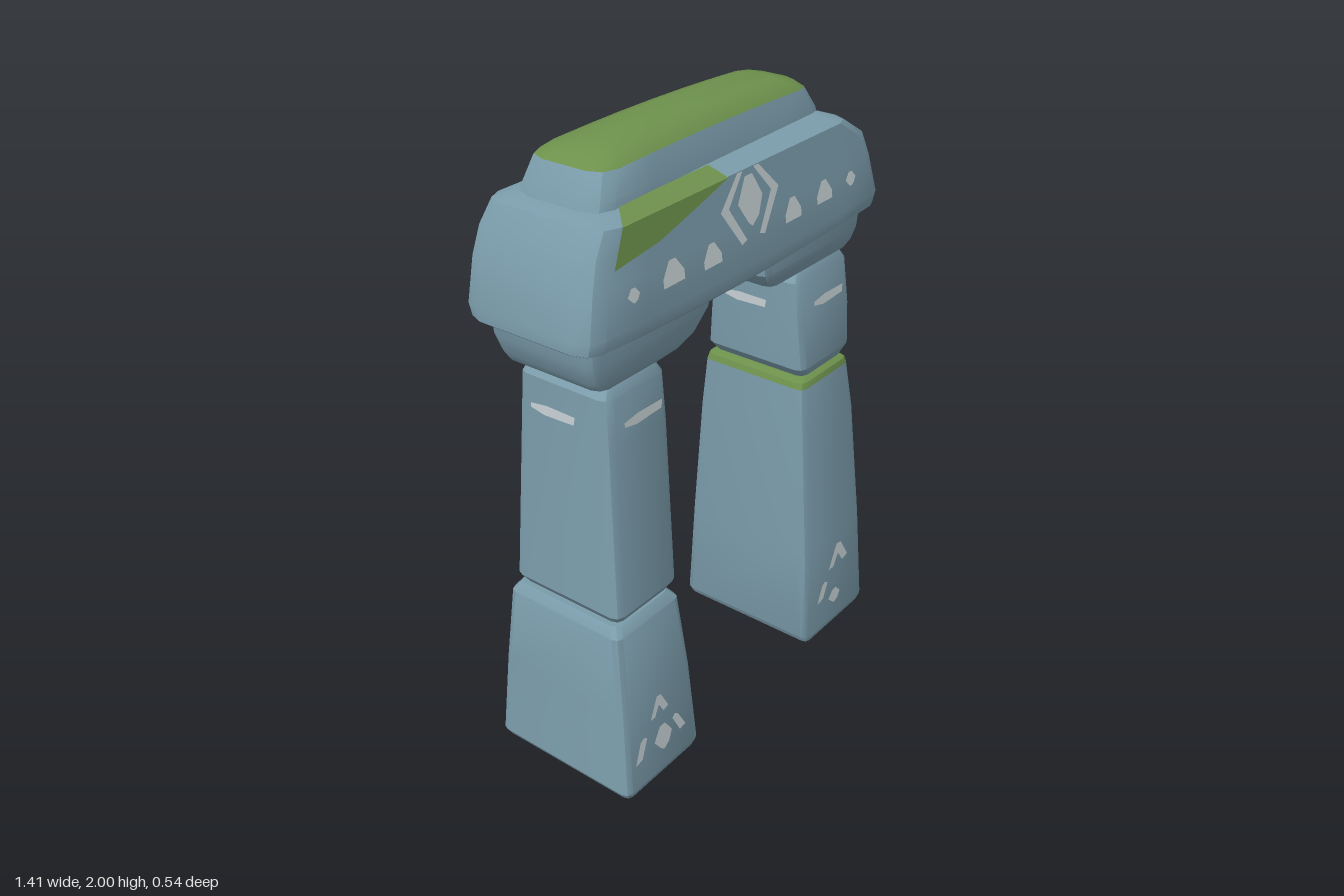
import * as THREE from 'three';
import { toCreasedNormals } from 'three/addons/utils/BufferGeometryUtils.js';

const stoneMat = new THREE.MeshStandardMaterial({ color: 0x7b9cab });
stoneMat.name = 'blue grey stone';
const mossMat = new THREE.MeshStandardMaterial({ color: 0x6d914c });
mossMat.name = 'green moss';
const paintMat = new THREE.MeshStandardMaterial({ color: 0xc6d0d3 });
paintMat.name = 'pale paint';

const noWarp = (p) => p;

// One outline: rectangle with rounded corners, long sides split into n pieces
function outline([y, x0, x1, z0, z1, c], n) {
  const pts = [];
  const corners = [[x1 - c, z1 - c, 0], [x0 + c, z1 - c, 1], [x0 + c, z0 + c, 2], [x1 - c, z0 + c, 3]];
  corners.forEach(([cx, cz, q], i) => {
    for (let k = 0; k < 3; k++) {
      const a = (q + k / 2) * Math.PI / 2;
      pts.push(new THREE.Vector3(cx + c * Math.cos(a), y, cz + c * Math.sin(a)));
    }
    if (i % 2 === 0) {
      const from = pts[pts.length - 1].clone();
      const toX = i === 0 ? x0 + c : x1 - c;
      for (let k = 1; k < n; k++) {
        pts.push(new THREE.Vector3(THREE.MathUtils.lerp(from.x, toX, k / n), y, from.z));
      }
    }
  });
  return pts;
}

// Stone lofted through rings of [y, x0, x1, z0, z1, corner]
function stone(name, rings, material = stoneMat, n = 1, warp = noWarp) {
  const pos = [], idx = [];
  const loops = rings.map((r) => outline(r, n));
  const m = loops[0].length, last = rings.length - 1;
  loops.flat().forEach((p) => pos.push(...warp(p).toArray()));
  for (const r of [rings[0], rings[last]]) {
    pos.push(...warp(new THREE.Vector3((r[1] + r[2]) / 2, r[0], (r[3] + r[4]) / 2)).toArray());
  }
  const bottom = m * rings.length, top = bottom + 1;
  for (let j = 0; j < m; j++) {
    const k = (j + 1) % m;
    for (let i = 0; i < last; i++) {
      const a = i * m + j, b = i * m + k;
      idx.push(a, a + m, b, b, a + m, b + m);
    }
    idx.push(bottom, j, k, top, last * m + k, last * m + j);
  }
  const geo = new THREE.BufferGeometry();
  geo.setAttribute('position', new THREE.Float32BufferAttribute(pos, 3));
  geo.setIndex(idx);
  const mesh = new THREE.Mesh(toCreasedNormals(geo, 0.55), material);
  mesh.name = name;
  return { mesh, rings, warp };
}

// Extents of a stone at height y
function extentsAt(rings, y) {
  let i = 0;
  while (i < rings.length - 2 && y > rings[i + 1][0]) i++;
  const t = (y - rings[i][0]) / (rings[i + 1][0] - rings[i][0]);
  return rings[i].map((v, k) => THREE.MathUtils.lerp(v, rings[i + 1][k], t));
}

// Thin face laid on one side of a stone; u runs rightwards when facing that side
function decal(name, target, side, points, material = paintMat) {
  const e = 0.005;
  const geo = new THREE.ShapeGeometry(new THREE.Shape(points.map((p) => new THREE.Vector2(...p))));
  const pos = geo.attributes.position;
  for (let i = 0; i < pos.count; i++) {
    const y = pos.getY(i), u = pos.getX(i);
    const [, x0, x1, z0, z1, c] = extentsAt(target.rings, y);
    const cx = (x) => THREE.MathUtils.clamp(x, x0 + c, x1 - c);
    const p = {
      front: () => [cx(u), y, z1 + e],
      back: () => [cx(-u), y, z0 - e],
      left: () => [x1 + e, y, -u],
      right: () => [x0 - e, y, u],
    }[side]();
    const v = target.warp(new THREE.Vector3(...p));
    pos.setXYZ(i, v.x, v.y, v.z);
  }
  geo.computeVertexNormals();
  const mesh = new THREE.Mesh(geo, material);
  mesh.name = name;
  return mesh;
}

const diamond = (x, y, w, h) => [[x - w, y], [x - 0.3 * w, y - 0.8 * h], [x, y - h], [x + 0.6 * w, y - 0.7 * h],
  [x + w, y], [x + 0.3 * w, y + 0.9 * h], [x - 0.3 * w, y + 0.9 * h]];
const triangle = (x, y, w, h) => [[x - w, y], [x + w, y], [x + w, y + 0.4 * h], [x + 0.3 * w, y + h],
  [x - 0.3 * w, y + h], [x - w, y + 0.35 * h]];
const slash = (x0, y0, x1, y1, t) => [[x0 - t, y0], [x0 + t, y0 + 0.005], [x1 + t, y1 - 0.01], [x1, y1], [x1 - t, y1 - 0.01]];
const arch = (x, y, w, h) => [[x - w, y], [x - 0.5 * w, y], [x, y + 0.5 * h], [x + 0.45 * w, y], [x + w, y + 0.1 * h],
  [x + 0.3 * w, y + 0.95 * h], [x - 0.15 * w, y + h]];
const dash = (u, y) => [[u - 0.08, y - 0.008], [u - 0.03, y - 0.018], [u + 0.08, y - 0.014], [u + 0.085, y + 0.012],
  [u - 0.02, y + 0.014], [u - 0.08, y + 0.006]];

export function createModel() {
  const model = new THREE.Group();
  model.name = 'stoneArch';

  // Pillar on the right (-x): short base, long upper stone
  const rightBase = stone('rightPillarBase', [
    [0, -0.65, -0.32, -0.26, 0.255, 0.02], [0.025, -0.665, -0.305, -0.27, 0.265, 0.025],
    [0.32, -0.65, -0.32, -0.245, 0.243, 0.025], [0.585, -0.635, -0.342, -0.217, 0.217, 0.025],
    [0.615, -0.615, -0.365, -0.195, 0.195, 0.025]]);
  const rightShaft = stone('rightPillarShaft', [
    [0.612, -0.595, -0.365, -0.185, 0.185, 0.025], [0.645, -0.617, -0.335, -0.205, 0.205, 0.03],
    [1.19, -0.592, -0.325, -0.175, 0.17, 0.03], [1.34, -0.587, -0.328, -0.165, 0.16, 0.03],
    [1.375, -0.56, -0.35, -0.15, 0.145, 0.02]]);

  // Pillar on the left (+x): tall base with a mossy rim, short upper stone
  const rim = [0.995, 0.326, 0.607, -0.2, 0.198, 0.025];
  const leftBase = stone('leftPillarBase', [
    [0, 0.325, 0.67, -0.258, 0.26, 0.02], [0.025, 0.312, 0.685, -0.266, 0.268, 0.025],
    [0.38, 0.312, 0.667, -0.246, 0.248, 0.03], [0.82, 0.317, 0.635, -0.216, 0.215, 0.03], rim]);
  const leftRim = stone('mossyRim', [rim, [1.015, 0.333, 0.602, -0.196, 0.193, 0.025],
    [1.027, 0.36, 0.58, -0.175, 0.175, 0.02]], mossMat);
  const leftShaft = stone('leftPillarShaft', [
    [1.025, 0.36, 0.59, -0.18, 0.175, 0.025], [1.06, 0.332, 0.625, -0.195, 0.188, 0.03],
    [1.2, 0.325, 0.635, -0.183, 0.175, 0.03], [1.36, 0.325, 0.627, -0.165, 0.158, 0.03],
    [1.395, 0.35, 0.6, -0.15, 0.145, 0.02]]);

  // Corbel stones between pillars and lintel
  const rightCorbel = stone('rightCorbel', [
    [1.367, -0.585, -0.32, -0.165, 0.145, 0.03], [1.385, -0.615, -0.25, -0.188, 0.162, 0.03],
    [1.41, -0.63, -0.185, -0.193, 0.168, 0.03], [1.47, -0.652, -0.135, -0.2, 0.178, 0.03],
    [1.535, -0.656, -0.125, -0.205, 0.18, 0.03]]);
  const leftCorbel = stone('leftCorbel', [
    [1.392, 0.21, 0.585, -0.165, 0.145, 0.03], [1.402, 0.185, 0.62, -0.185, 0.16, 0.03],
    [1.425, 0.155, 0.65, -0.192, 0.168, 0.03], [1.46, 0.128, 0.657, -0.2, 0.178, 0.03],
    [1.535, 0.12, 0.668, -0.205, 0.18, 0.03]]);

  // Lintel, sagging slightly along its underside
  const lintelWarp = (p) => {
    const sag = THREE.MathUtils.clamp((1.6 - p.y) / 0.08, 0, 1) * 0.025 * (1 - (p.x / 0.7) ** 2);
    return new THREE.Vector3(p.x, p.y - sag + 0.012 * p.x, p.z + 0.008 * p.x);
  };
  const lintel = stone('lintel', [
    [1.522, -0.68, 0.67, -0.2, 0.19, 0.06], [1.54, -0.706, 0.7, -0.235, 0.217, 0.06],
    [1.575, -0.705, 0.7, -0.248, 0.225, 0.06], [1.7, -0.67, 0.672, -0.255, 0.208, 0.06],
    [1.78, -0.642, 0.64, -0.25, 0.198, 0.06], [1.845, -0.6, 0.54, -0.24, 0.19, 0.06],
    [1.867, -0.53, 0.48, -0.19, 0.12, 0.06]], stoneMat, 8, lintelWarp);

  // Capstone with a mossy crown
  const capWarp = (p) => {
    const k = THREE.MathUtils.clamp((p.y - 1.9) / 0.1, 0, 1);
    return new THREE.Vector3(p.x, p.y - 0.07 * k * p.x * p.x, (p.z + 0.03) * (1 - 0.12 * p.x) - 0.03);
  };
  const crown = [1.957, -0.502, 0.475, -0.168, 0.095, 0.06];
  const cap = stone('capstone', [
    [1.82, -0.56, 0.527, -0.185, 0.12, 0.06], [1.88, -0.543, 0.513, -0.175, 0.117, 0.06], crown],
    stoneMat, 6, capWarp);
  const capMoss = stone('capstoneMoss', [crown, [1.982, -0.475, 0.45, -0.14, 0.07, 0.06],
    [2.0, -0.4, 0.38, -0.085, 0.03, 0.05]], mossMat, 6, capWarp);

  for (const s of [rightBase, rightShaft, leftBase, leftRim, leftShaft, rightCorbel, leftCorbel, lintel, cap, capMoss]) {
    model.add(s.mesh);
  }

  // Lintel signs: diamond in brackets, with triangles and dots outwards
  const bracket = (s) => [[0.025, 1.845], [0.05, 1.845], [0.137, 1.757], [0.055, 1.64], [0.03, 1.648], [0.1, 1.757]]
    .map(([x, y]) => [s * x, y]);
  const lintelSigns = [diamond(0, 1.757, 0.058, 0.078), bracket(1), bracket(-1),
    triangle(-0.36, 1.633, 0.045, 0.07), triangle(-0.19, 1.625, 0.04, 0.065),
    triangle(0.2, 1.635, 0.04, 0.068), triangle(0.365, 1.64, 0.04, 0.065),
    diamond(-0.525, 1.66, 0.025, 0.022), diamond(0.51, 1.668, 0.028, 0.024)];
  const mossFace = [[-0.585, 1.745], [-0.4, 1.765], [-0.2, 1.815], [-0.09, 1.845], [-0.535, 1.845]];
  const mossBevel = [[-0.535, 1.845], [-0.09, 1.845], [-0.09, 1.867], [-0.47, 1.867]];

  // Foot signs, repeated half a turn round on the opposite pillar
  const footA = [arch(-0.493, 0.24, 0.043, 0.07), diamond(-0.485, 0.147, 0.043, 0.05),
    slash(-0.605, 0.12, -0.575, 0.2, 0.016), slash(-0.39, 0.12, -0.422, 0.195, 0.014)];
  const footB = [arch(0.51, 0.245, 0.06, 0.085), diamond(0.485, 0.122, 0.037, 0.03),
    slash(0.395, 0.14, 0.425, 0.21, 0.018)];

  for (const side of ['front', 'back']) {
    const [a, b] = side === 'front' ? [rightBase, leftBase] : [leftBase, rightBase];
    lintelSigns.forEach((p) => model.add(decal('lintelSign', lintel, side, p)));
    footA.forEach((p) => model.add(decal('footSign', a, side, p)));
    footB.forEach((p) => model.add(decal('footSign', b, side, p)));
    for (const p of [mossFace, mossBevel]) model.add(decal('lintelMoss', lintel, side, p, mossMat));
  }

  // Dashes on all four sides of both upper pillar stones
  for (const [shaft, x, y] of [[rightShaft, -0.445, 1.25], [leftShaft, 0.495, 1.27]]) {
    for (const [side, u] of [['front', x], ['back', -x], ['left', 0.035], ['right', -0.035]]) {
      model.add(decal('dashSign', shaft, side, dash(u, y)));
    }
  }
  return model;
}
